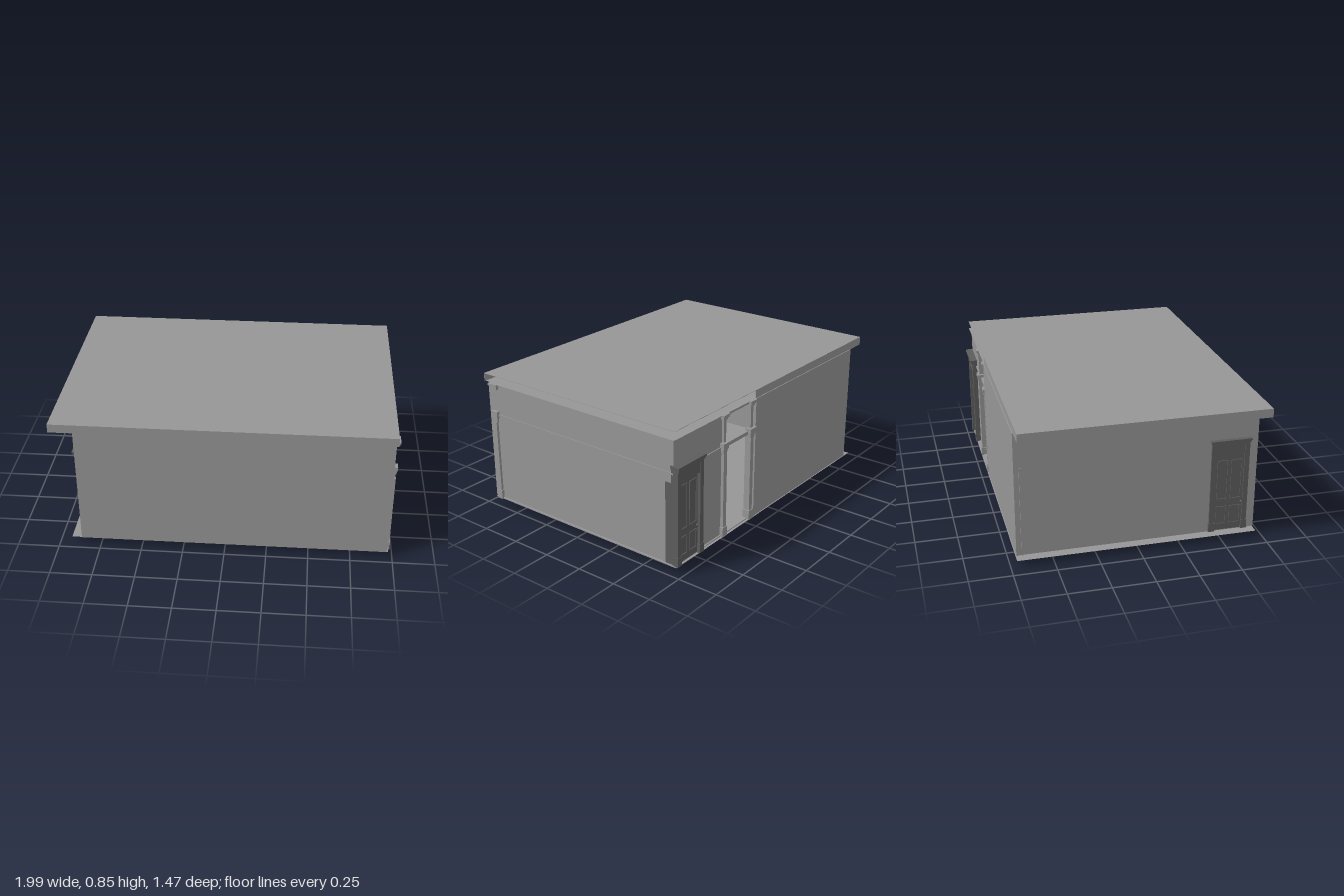
import * as THREE from 'three';

const grey = new THREE.MeshStandardMaterial({ color: 0x969696, side: THREE.DoubleSide });
const dark = new THREE.MeshStandardMaterial({ color: 0x5d5d5d });
const black = new THREE.MeshStandardMaterial({ color: 0x262626 });

// Box given by its extents on each axis
function box(parent, name, [x0, x1], [y0, y1], [z0, z1], material = grey) {
  const mesh = new THREE.Mesh(new THREE.BoxGeometry(x1 - x0, y1 - y0, z1 - z0), material);
  mesh.position.set((x0 + x1) / 2, (y0 + y1) / 2, (z0 + z1) / 2);
  mesh.name = name;
  parent.add(mesh);
}

// Stepped capital, growing wider towards its top
function capital(parent, name, halfWidth, y0, y1, depth, material = grey) {
  const steps = 3, h = (y1 - y0) / steps;
  for (let i = 0; i < steps; i++) {
    const grow = 0.005 * (i + 1);
    box(parent, name, [-halfWidth - grow, halfWidth + grow], [y0 + i * h, y0 + (i + 1) * h],
      [-0.02, depth + grow], material);
  }
}

// Panelled door with surround; local +z points out of the wall
function makeDoor(name, top, depth) {
  const g = new THREE.Group();
  g.name = name;
  const head = top - 0.105;
  box(g, 'doorLeaf', [-0.085, 0.085], [0.05, head], [-0.06, 0.006], dark);
  for (const s of [-1, 1]) {
    const a = Math.min(s * 0.085, s * 0.115), b = a + 0.03;
    box(g, 'doorJamb', [a, b], [0.045, head], [-0.06, depth], dark);
    box(g, 'upperJamb', [a, b], [head, top - 0.035], [-0.02, depth], dark);
    box(g, 'jambBase', [a - 0.003, b + 0.003], [0.045, 0.1], [-0.01, depth + 0.002], dark);
    // Raised mouldings around tall upper and short lower panels
    for (const [y0, y1] of [[0.09, 0.2], [0.25, head - 0.03]]) {
      const x0 = s * 0.042 - 0.03, x1 = s * 0.042 + 0.03;
      for (const x of [x0, x1]) box(g, 'panelMoulding', [x - 0.004, x + 0.004], [y0, y1], [0, 0.011], dark);
      for (const y of [y0, y1]) box(g, 'panelMoulding', [x0, x1], [y - 0.004, y + 0.004], [0, 0.011], dark);
    }
  }
  box(g, 'doorHead', [-0.085, 0.085], [head, top - 0.035], [-0.02, depth - 0.005], dark);
  capital(g, 'doorCornice', 0.108, top - 0.035, top, depth, dark);
  const knob = new THREE.Mesh(new THREE.SphereGeometry(0.007, 12, 8), dark);
  knob.name = 'doorKnob';
  knob.position.set(0.076, 0.225, 0.012);
  g.add(knob);
  return g;
}

// Entrance column with base, lower capital and slim upper pilaster
function makePost() {
  const g = new THREE.Group();
  g.name = 'entrancePost';
  box(g, 'postBase', [-0.022, 0.022], [0.04, 0.1], [-0.03, 0.014]);
  box(g, 'postShaft', [-0.015, 0.015], [0.1, 0.58], [-0.03, 0.009]);
  capital(g, 'lowerCapital', 0.015, 0.57, 0.63, 0.004);
  box(g, 'upperPilaster', [-0.011, 0.011], [0.63, 0.77], [-0.03, 0.003]);
  capital(g, 'upperCapital', 0.015, 0.765, 0.8, 0.002);
  return g;
}

export function createModel() {
  const model = new THREE.Group();
  model.name = 'building';

  // Thin floor sheet, the slab under the room and the small foot at the corner
  const floor = new THREE.Mesh(new THREE.PlaneGeometry(1.9, 1.42), grey);
  floor.name = 'floorSheet';
  floor.rotation.x = -Math.PI / 2;
  floor.position.set(0.025, 0.044, -0.005);
  model.add(floor);
  box(model, 'floorSlab', [-0.865, 0.975], [0.042, 0.05], [-0.7, 0.685]);
  box(model, 'cornerFoot', [-0.83, -0.79], [0, 0.05], [0.643, 0.647], black);

  // Roof: top sheet and fascias, left open along the end and above the entrance bay
  const R = [0.8, 0.85];
  box(model, 'roofTop', [-1, 0.975], [0.848, 0.85], [-0.705, 0.733]);
  box(model, 'frontFascia', [-1, 0.975], R, [0.731, 0.733]);
  box(model, 'endFascia', [-1, -0.998], R, [-0.705, 0.733]);
  box(model, 'backFascia', [-1, 0.225], R, [-0.705, -0.703]);
  box(model, 'ceiling', [-1, 0.965], [0.798, 0.8], [-0.705, 0.733]);

  // Stepped round moulding on the ceiling
  for (const [radius, height] of [[0.37, 0.006], [0.28, 0.01]]) {
    const disc = new THREE.Mesh(new THREE.CylinderGeometry(radius, radius, height, 48), grey);
    disc.name = 'ceilingMoulding';
    disc.position.set(0.05, 0.8 + height / 2, 0);
    model.add(disc);
  }

  // Solid walls
  const H = [0.045, 0.8];
  box(model, 'frontWall', [-0.865, 0.965], H, [0.69, 0.71]);
  box(model, 'leftEndWall', [0.945, 0.965], H, [-0.69, 0.69]);
  box(model, 'rightEndWall', [-0.865, -0.845], H, [-0.69, 0.69]);
  box(model, 'backWall', [-0.87, 0.225], H, [-0.71, -0.69]);

  // Back entrance bay: wall beside the opening, transom frame and lintel
  box(model, 'bayWall', [0.51, 0.965], H, [-0.69, -0.67]);
  box(model, 'transomBar', [0.24, 0.53], [0.59, 0.612], [-0.695, -0.675]);
  box(model, 'openingLintel', [0.24, 0.53], [0.78, 0.8], [-0.695, -0.675]);
  for (const x of [0.255, 0.52]) {
    const post = makePost();
    post.rotation.y = Math.PI;
    post.position.set(x, 0, -0.7);
    model.add(post);
  }

  // Corner pilaster with a separate cap under the eaves
  box(model, 'cornerBase', [0.95, 0.983], [0.042, 0.1], [0.643, 0.68]);
  box(model, 'cornerShaft', [0.95, 0.98], [0.1, 0.55], [0.648, 0.674]);
  const cornerCaps = new THREE.Group();
  cornerCaps.name = 'cornerCaps';
  capital(cornerCaps, 'cornerCapital', 0.008, 0.55, 0.625, 0.005);
  capital(cornerCaps, 'eavesCapital', 0.02, 0.765, 0.8, 0.008);
  cornerCaps.rotation.y = Math.PI / 2;
  cornerCaps.position.set(0.967, 0, 0.655);
  model.add(cornerCaps);

  // Slim rails and cornices
  box(model, 'endRail', [0.96, 0.97], [0.595, 0.605], [-0.69, 0.65]);
  box(model, 'endCornice', [0.96, 0.98], [0.794, 0.8], [-0.7, 0.68]);
  box(model, 'bayRail', [0.53, 0.74], [0.595, 0.605], [-0.696, -0.685]);
  box(model, 'bayCornice', [0.24, 0.98], [0.794, 0.8], [-0.703, -0.685]);
  box(model, 'backCornerStrip', [-0.873, -0.86], [0.045, 0.59], [-0.68, -0.67]);

  // Doors in the back bay and the opposite end wall
  const backDoor = makeDoor('backDoor', 0.648, 0.025);
  backDoor.rotation.y = Math.PI;
  backDoor.position.set(0.853, 0, -0.695);
  const endDoor = makeDoor('endDoor', 0.63, 0.012);
  endDoor.rotation.y = -Math.PI / 2;
  endDoor.position.set(-0.863, 0, 0.545);
  model.add(backDoor, endDoor);

  return model;
}
